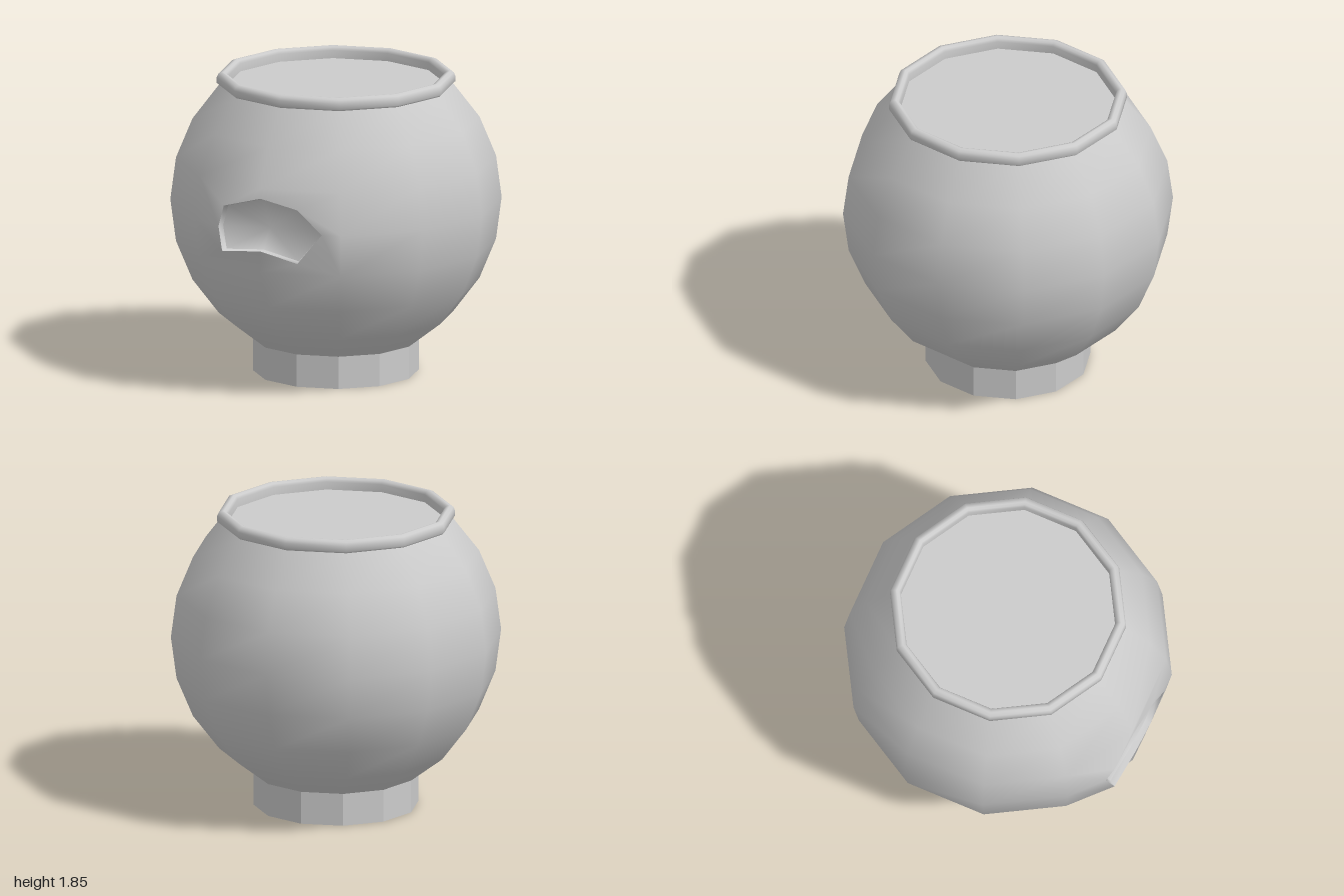
import * as THREE from 'three';

const SIDES = 12, CENTRE_Y = 1.066, RINGS = 7;

function makeMesh(name, geometry, flatShading = false) {
  const material = new THREE.MeshStandardMaterial({ color: 0xcccccc, flatShading, side: THREE.DoubleSide });
  const mesh = new THREE.Mesh(geometry, material);
  mesh.name = name;
  return mesh;
}

function indexed(points, index) {
  const g = new THREE.BufferGeometry().setFromPoints(points);
  g.setIndex(index);
  g.computeVertexNormals();
  return g;
}

// Joins two closed loops of n points, given as index functions
function joinLoops(index, n, outer, inner) {
  for (let k = 0; k < n; k++) {
    const m = (k + 1) % n;
    index.push(outer(k), outer(m), inner(m), outer(k), inner(m), inner(k));
  }
}

// Outline of the opening, counter-clockwise from its lower outer corner
const opening = [
  [-0.71, 0.925, 0.76], [-0.48, 0.94, 0.85], [-0.26, 0.875, 0.91], [-0.115, 1.066, 0.97],
  [-0.26, 1.21, 0.92], [-0.48, 1.265, 0.84], [-0.70, 1.205, 0.76], [-0.73, 1.066, 0.71],
].map(p => new THREE.Vector3(...p));

// Faceted globe with four quads replaced by a collar around the opening
function globe() {
  const points = [], index = [];
  const id = (i, j) => i * SIDES + (j % SIDES);
  for (let i = 0; i <= RINGS; i++) {
    const lat = THREE.MathUtils.degToRad(-60 + 15 * i);
    for (let j = 0; j < SIDES; j++) {
      const a = j * Math.PI * 2 / SIDES, r = Math.cos(lat);
      points.push(new THREE.Vector3(Math.sin(a) * r, CENTRE_Y + Math.sin(lat), Math.cos(a) * r));
    }
  }
  for (let i = 0; i < RINGS; i++) {
    for (let j = 0; j < SIDES; j++) {
      if ((i === 3 || i === 4) && j >= 10) continue;
      index.push(id(i, j), id(i, j + 1), id(i + 1, j + 1), id(i, j), id(i + 1, j + 1), id(i + 1, j));
    }
  }
  const border = [[3, 10], [3, 11], [3, 0], [4, 0], [5, 0], [5, 11], [5, 10], [4, 10]];
  const base = points.length;
  points.push(...opening);
  joinLoops(index, 8, k => id(...border[k]), k => base + k);
  return indexed(points, index);
}

// Opening outline scaled towards the globe's centre
function inset(s) {
  const c = new THREE.Vector3(0, CENTRE_Y, 0);
  return opening.map(p => p.clone().sub(c).multiplyScalar(s).add(c));
}

function createModel() {
  const group = new THREE.Group();
  group.name = 'bowl';
  group.add(makeMesh('globe', globe()));

  // Short wall just inside the opening
  const lip = [];
  joinLoops(lip, 8, k => k, k => 8 + k);
  group.add(makeMesh('openingLip', indexed([...opening, ...inset(0.96)], lip)));

  // Shallow dished floor of the opening
  const floor = [];
  for (let k = 0; k < 8; k++) floor.push(k, (k + 1) % 8, 8);
  group.add(makeMesh('openingFloor', indexed([...inset(0.96), new THREE.Vector3(-0.42, 1.06, 0.73)], floor)));

  // Rounded rim
  const rimProfile = [
    [0.705, 1.773], [0.72, 1.785], [0.72, 1.82], [0.711, 1.841], [0.69, 1.85],
    [0.68, 1.85], [0.664, 1.843], [0.655, 1.825], [0.655, 1.775],
  ].map(p => new THREE.Vector2(...p));
  group.add(makeMesh('rim', new THREE.LatheGeometry(rimProfile, SIDES)));

  // Flat surface inside the rim
  const lid = makeMesh('lid', new THREE.CircleGeometry(0.66, SIDES));
  lid.rotation.x = -Math.PI / 2;
  lid.position.y = 1.777;
  group.add(lid);

  // Open foot ring and the recessed underside
  const foot = makeMesh('foot', new THREE.CylinderGeometry(0.5, 0.5, 0.2, SIDES, 1, true), true);
  foot.position.y = 0.1;
  group.add(foot);
  const recess = makeMesh('undersideRecess', new THREE.CylinderGeometry(0.42, 0.5, 0.08, SIDES, 1, true), true);
  recess.position.y = 0.24;
  group.add(recess);
  const underside = makeMesh('underside', new THREE.CircleGeometry(0.42, SIDES));
  underside.rotation.x = Math.PI / 2;
  underside.position.y = 0.28;
  group.add(underside);

  return group;
}

export { createModel };
